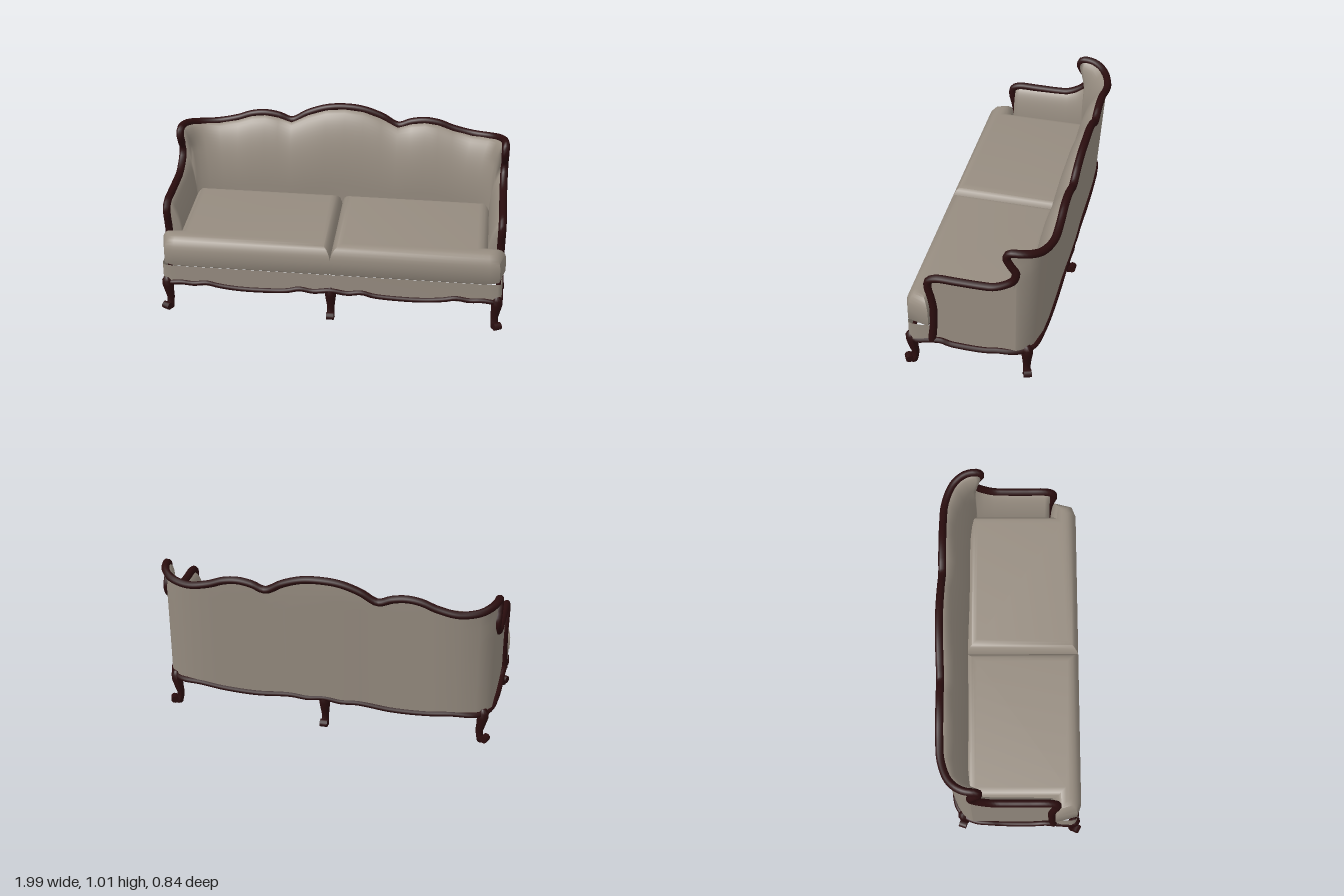
import * as THREE from 'three';
import { toCreasedNormals } from 'three/addons/utils/BufferGeometryUtils.js';

const fabric = new THREE.MeshStandardMaterial({ color: 0x968c80, side: THREE.DoubleSide });
fabric.name = 'greyFabric';
const wood = new THREE.MeshStandardMaterial({ color: 0x2a0d0e });
wood.name = 'darkMahogany';

const V = (x, y, z) => new THREE.Vector3(x, y, z);
const clamp01 = (t) => Math.min(1, Math.max(0, t));

function part(name, geometry, material, parent) {
  const mesh = new THREE.Mesh(geometry, material);
  mesh.name = name;
  parent.add(mesh);
  return mesh;
}

// Smooth surface through rows of points
function loft(rows) {
  const n = rows[0].length, index = [];
  for (let i = 0; i < rows.length - 1; i++) {
    for (let j = 0; j < n - 1; j++) {
      const a = i * n + j, b = a + n;
      index.push(a, a + 1, b, a + 1, b + 1, b);
    }
  }
  const g = new THREE.BufferGeometry().setFromPoints(rows.flat());
  g.setIndex(index);
  g.computeVertexNormals();
  return g;
}

// Half path ending on x = 0, continued as its mirror image
const mirrorPath = (half) =>
  half.concat(half.slice(0, -1).reverse().map((p) => V(-p.x, p.y, p.z)));

const tube = (points, radius, segments, closed = false) =>
  new THREE.TubeGeometry(new THREE.CatmullRomCurve3(points, closed), segments, radius, 10, closed);

// Crest of the back, from the wing to the centre
const crest = [
  [0.955, 0.893, -0.25], [0.93, 0.884, -0.3], [0.88, 0.87, -0.345], [0.77, 0.863, -0.383],
  [0.65, 0.887, -0.39], [0.56, 0.919, -0.39], [0.48, 0.929, -0.39], [0.4, 0.917, -0.39],
  [0.32, 0.89, -0.39], [0.22, 0.942, -0.393], [0.11, 0.979, -0.396], [0, 0.989, -0.398],
].map((p) => V(...p));

// Front post, arm and wing
const armRail = [
  [0.972, 0.19, 0.25], [0.965, 0.3, 0.24], [0.962, 0.42, 0.236], [0.962, 0.5, 0.247],
  [0.962, 0.57, 0.263], [0.962, 0.615, 0.257], [0.962, 0.636, 0.22], [0.962, 0.638, 0.1],
  [0.962, 0.638, -0.03], [0.962, 0.643, -0.1], [0.962, 0.672, -0.165], [0.962, 0.71, -0.21],
  [0.962, 0.76, -0.224], [0.962, 0.81, -0.195], [0.962, 0.855, -0.174], [0.962, 0.89, -0.19],
].map((p) => V(...p));

// Upper edge of the upholstery
const edge = [
  [0.962, 0.61, 0.24], [0.962, 0.632, 0.21], [0.962, 0.638, 0], [0.962, 0.643, -0.1],
  [0.962, 0.67, -0.16], [0.962, 0.71, -0.21], [0.962, 0.76, -0.226], [0.962, 0.89, -0.23],
].map((p) => V(...p)).concat(crest);

// The wing leans forward over the arm
const wingShift = (y, z) => 0.05 * clamp01((y - 0.76) / 0.09) * clamp01((z + 0.32) / 0.1);
const backness = (z) => clamp01((-0.2 - z) / 0.19);

function outerColumn(p) {
  return Array.from({ length: 15 }, (_, i) => {
    const y = THREE.MathUtils.lerp(p.y, 0.18, i / 14);
    const lean = 0.075 * Math.max(0, 0.9 - y) * backness(p.z);
    return V(p.x, y, p.z + wingShift(y, p.z) + lean);
  });
}

function innerColumn(p, depth = 1) {
  const side = Math.sign(p.x) * 0.075 * clamp01((Math.abs(p.x) - 0.6) / 0.3);
  return Array.from({ length: 25 }, (_, i) => {
    const t = (i / 24) ** 1.4;
    const y = THREE.MathUtils.lerp(p.y, 0.25, t);
    const swell = depth * Math.sqrt(Math.sin((Math.PI / 2) * Math.min(1, t * 1.6)));
    return V(p.x - side * swell, y, p.z + wingShift(y, p.z) + 0.145 * swell * backness(p.z));
  });
}

// T-shaped seat cushion, fuller at the top edge than at the bottom
function cushionGeometry() {
  const shape = new THREE.Shape([
    [0.067, 0.2], [0.067, -0.337], [0.895, -0.337], [0.911, -0.331], [0.917, -0.315],
    [0.83, -0.315], [0.83, 0.2],
  ].map(([x, y]) => new THREE.Vector2(x, y)));
  const g = new THREE.ExtrudeGeometry(shape, {
    depth: 0.06, bevelEnabled: true, bevelSize: 0.068, bevelThickness: 0.068, bevelSegments: 7,
  });
  g.rotateX(-Math.PI / 2);
  const pos = g.attributes.position;
  for (let i = 0; i < pos.count; i++) {
    const y = pos.getY(i);
    if (y < 0) pos.setY(i, 0.32 + y * 0.44);
    else if (y < 0.06) pos.setY(i, 0.32 + y * 1.17);
    else pos.setY(i, 0.39 + (y - 0.06) * 1.4);
  }
  return toCreasedNormals(g, 0.9);
}

// Cabriole leg: rings of [outward shift, height, radius], with a scrolled toe
function makeLeg(name, x, z, dirX, dirZ, parent) {
  const leg = new THREE.Group();
  leg.name = name;
  const rings = [
    [0, 0.218, 0], [0, 0.216, 0.016], [0.002, 0.195, 0.03], [-0.002, 0.16, 0.033],
    [-0.01, 0.11, 0.027], [-0.019, 0.065, 0.022], [-0.015, 0.03, 0.021], [-0.004, 0, 0.025], [-0.004, 0, 0],
  ];
  part('cabrioleLeg', loft(rings.map(([d, y, r]) =>
    Array.from({ length: 11 }, (_, i) => {
      const a = (i / 10) * Math.PI * 2;
      return V(Math.cos(a) * r, y, d + Math.sin(a) * r);
    }))), wood, leg);
  const toe = part('scrollToe', new THREE.CylinderGeometry(0.022, 0.022, 0.044, 12), wood, leg);
  toe.rotation.z = Math.PI / 2;
  toe.position.set(0, 0.022, 0.02);
  leg.position.set(x, 0, z);
  leg.rotation.y = Math.atan2(dirX, dirZ);
  parent.add(leg);
}

export function createModel() {
  const sofa = new THREE.Group();
  sofa.name = 'sofa';

  // Upholstered outer shell and inner padding
  const path = mirrorPath(edge);
  part('outerShell', loft(path.map(outerColumn)), fabric, sofa);
  const inner = path.map((p) => innerColumn(p));
  inner.unshift(innerColumn(path[0], 0));
  inner.push(innerColumn(path[path.length - 1], 0));
  part('innerPadding', loft(inner), fabric, sofa);

  // Seat front panel, hollow behind, wrapping round the front corners
  const panel = mirrorPath([
    [0.972, 0, 0.24], [0.982, 0, 0.3], [0.982, 0, 0.36], [0.975, 0, 0.378], [0.957, 0, 0.388],
    [0.9, 0, 0.39], [0, 0, 0.39],
  ].map((p) => V(...p)));
  part('seatFront', loft(panel.map((p) => [V(p.x, 0.3, p.z), V(p.x, 0.175, p.z)])), fabric, sofa);

  // Cushions
  const cushion = cushionGeometry();
  part('leftCushion', cushion, fabric, sofa);
  const rightCushion = part('rightCushion', cushion, fabric, sofa);
  rightCushion.scale.x = -1;

  // Carved rail around arms and back
  part('carvedRail', tube(mirrorPath(armRail.concat(crest)), 0.0225, 220), wood, sofa);

  // Scalloped apron all the way round
  const apron = mirrorPath([
    [0, 0.195, 0.388], [0.1, 0.182, 0.386], [0.18, 0.193, 0.386], [0.25, 0.176, 0.386],
    [0.4, 0.167, 0.386], [0.55, 0.169, 0.386], [0.66, 0.182, 0.386], [0.72, 0.195, 0.386],
    [0.8, 0.185, 0.386], [0.87, 0.19, 0.386], [0.95, 0.18, 0.378],
    [0.974, 0.175, 0.34], [0.974, 0.186, 0.29], [0.972, 0.198, 0.2], [0.972, 0.184, 0.15],
    [0.972, 0.179, 0.08], [0.97, 0.179, -0.05], [0.968, 0.19, -0.12], [0.96, 0.19, -0.2],
    [0.93, 0.187, -0.265], [0.87, 0.187, -0.31], [0.75, 0.19, -0.328], [0.6, 0.174, -0.332],
    [0.4, 0.169, -0.333], [0.2, 0.188, -0.335], [0.1, 0.182, -0.336], [0, 0.195, -0.337],
  ].map((p) => V(...p)));
  apron.pop();
  part('scallopedApron', tube(apron, 0.017, 260, true), wood, sofa);

  // Legs
  for (const s of [1, -1]) {
    const side = s > 0 ? 'left' : 'right';
    makeLeg(side + 'FrontLeg', s * 0.957, 0.375, s * 0.5, 1, sofa);
    makeLeg(side + 'BackLeg', s * 0.92, -0.277, s, -0.35, sofa);
  }
  makeLeg('middleFrontLeg', 0, 0.375, 0, 1, sofa);
  makeLeg('middleBackLeg', 0, -0.322, 0, -1, sofa);

  return sofa;
}
